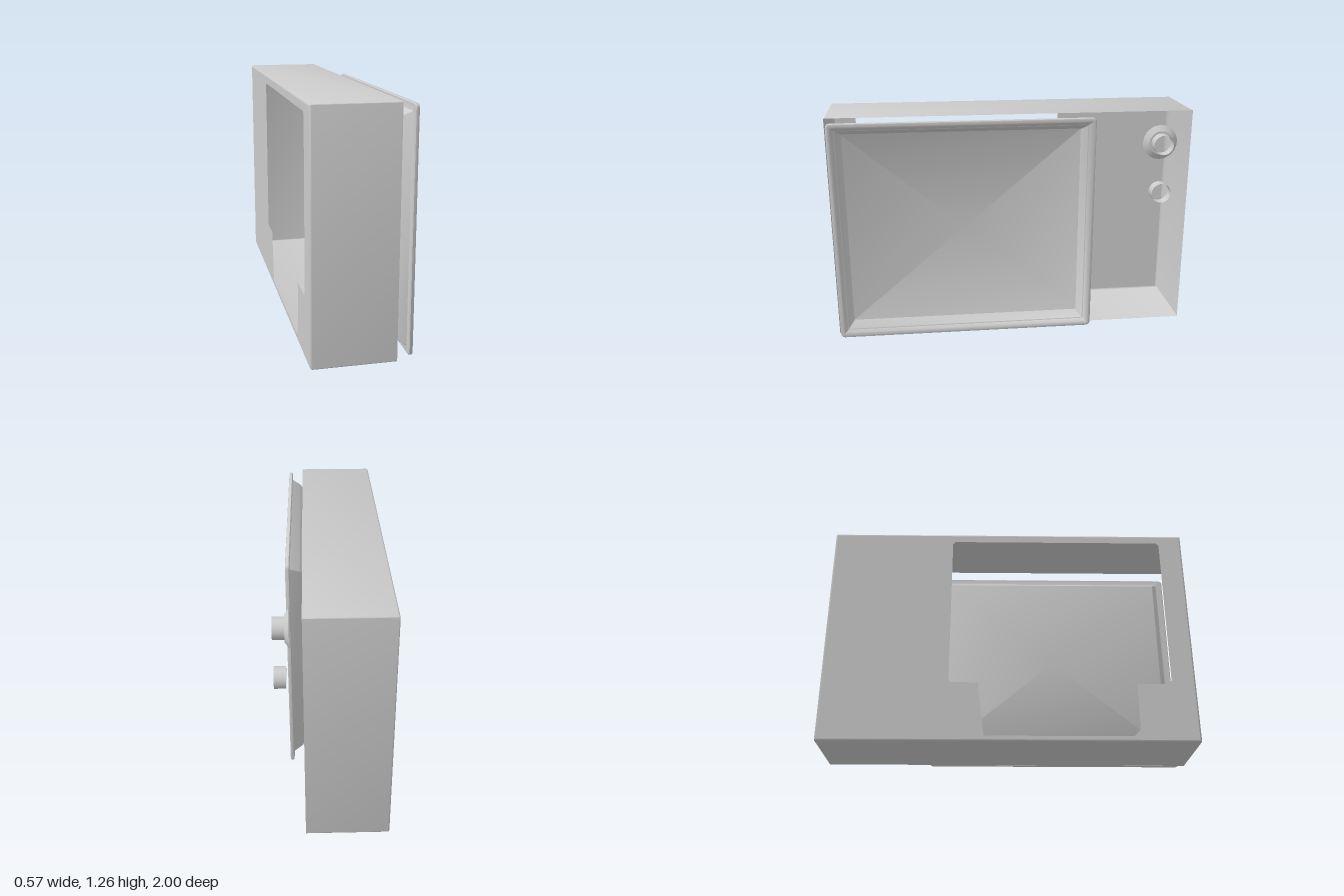
import * as THREE from 'three';
import { toCreasedNormals } from 'three/addons/utils/BufferGeometryUtils.js';

const material = new THREE.MeshStandardMaterial({ color: 0xcccccc, side: THREE.DoubleSide });

function part(name, geometry) {
  const mesh = new THREE.Mesh(geometry, material);
  mesh.name = name;
  return mesh;
}

// Rounded rectangle in the z-y plane, as [z, y] points
function roundedLoop({ z0, z1, y0, y1, r }, inset) {
  const points = [], steps = 4;
  const corners = [[z1, y1, 1, 1], [z0, y1, -1, 1], [z0, y0, -1, -1], [z1, y0, 1, -1]];
  const rad = Math.max(r - inset, 0.006);
  corners.forEach(([z, y, sz, sy], k) => {
    const cz = z - sz * (inset + rad), cy = y - sy * (inset + rad);
    for (let i = 0; i <= steps; i++) {
      const a = (k + i / steps) * Math.PI / 2;
      points.push([cz + rad * Math.cos(a), cy + rad * Math.sin(a)]);
    }
  });
  return points;
}

// Skin through rounded rectangles; each section is [inset, x]
function loft(rect, sections, capped) {
  const pos = [], index = [];
  let n = 0;
  for (const [inset, x] of sections) {
    const loop = roundedLoop(rect, inset);
    n = loop.length;
    loop.forEach(([z, y]) => pos.push(x, y, z));
  }
  for (let s = 0; s < sections.length - 1; s++) {
    for (let i = 0; i < n; i++) {
      const a = s * n + i, b = s * n + (i + 1) % n;
      index.push(a, a + n, b, b, a + n, b + n);
    }
  }
  if (capped) {
    const last = sections.length - 1;
    for (const s of [0, last]) {
      const c = pos.length / 3;
      pos.push(sections[s][1], (rect.y0 + rect.y1) / 2, (rect.z0 + rect.z1) / 2);
      for (let i = 0; i < n; i++) {
        const a = s * n + i, b = s * n + (i + 1) % n;
        if (s === 0) index.push(c, a, b);
        else index.push(c, b, a);
      }
    }
  }
  const g = new THREE.BufferGeometry();
  g.setAttribute('position', new THREE.Float32BufferAttribute(pos, 3));
  g.setIndex(index);
  return toCreasedNormals(g, 0.6);
}

export function createModel() {
  const model = new THREE.Group();
  const backX = -0.283, openX = 0.143;

  // Thin-walled casing, open on +x
  const caseRect = { z0: -1, z1: 1, y0: 0.004, y1: 1.26, r: 0.006 };
  const edge = 0.01;
  model.add(part('casingWalls', loft(caseRect, [
    [edge, backX], [edge * 0.5, backX + edge * 0.134], [edge * 0.134, backX + edge * 0.5],
    [0, backX + edge], [0, openX],
  ], false)));

  // Back wall with a stepped opening
  const toPoints = (list) => list.map(([z, y]) => new THREE.Vector2(z, y));
  const wall = new THREE.Shape(toPoints(roundedLoop(caseRect, edge)));
  wall.holes.push(new THREE.Path(toPoints([
    [-0.32, 1.195], [-0.305, 1.21], [0.855, 1.21], [0.87, 1.195],
    [0.87, 0.345], [0.85, 0.325], [0.685, 0.325], [0.685, 0.07], [0.65, 0.033],
    [-0.13, 0.033], [-0.165, 0.33], [-0.305, 0.33], [-0.32, 0.345],
  ])));
  const wallGeometry = new THREE.ShapeGeometry(wall);
  wallGeometry.rotateY(-Math.PI / 2).translate(backX, 0, 0);
  model.add(part('casingBackWall', wallGeometry));

  // Recessed tray with a rounded rim
  const trayRect = { z0: -0.445, z1: 0.985, y0: 0.018, y1: 1.247, r: 0.022 };
  model.add(part('trayPanel', loft(trayRect, [
    [0.078, 0.145], [0.073, 0.148], [0.044, 0.204], [0.04, 0.206],
    [0.004, 0.206], [0, 0.21], [0, 0.221], [0.003, 0.226], [0.009, 0.228],
    [0.016, 0.228], [0.026, 0.224], [0.036, 0.212], [0.064, 0.156], [0.072, 0.15],
  ], true)));

  // Two open tubular knobs
  const knobZ = -0.805;
  for (const [name, y] of [['upperKnob', 1.1], ['lowerKnob', 0.83]]) {
    const tube = new THREE.CylinderGeometry(0.054, 0.054, 0.058, 24, 1, true);
    tube.rotateZ(-Math.PI / 2).translate(0.254, y, knobZ);
    model.add(part(name, tube));
  }

  // Conical collar round the upper knob
  const collar = new THREE.LatheGeometry(
    [[0.095, 0.204], [0.065, 0.225], [0.054, 0.225]].map(([r, h]) => new THREE.Vector2(r, h)), 32);
  collar.rotateZ(-Math.PI / 2).translate(0, 1.1, knobZ);
  model.add(part('knobCollar', toCreasedNormals(collar, 0.5)));

  return model;
}
